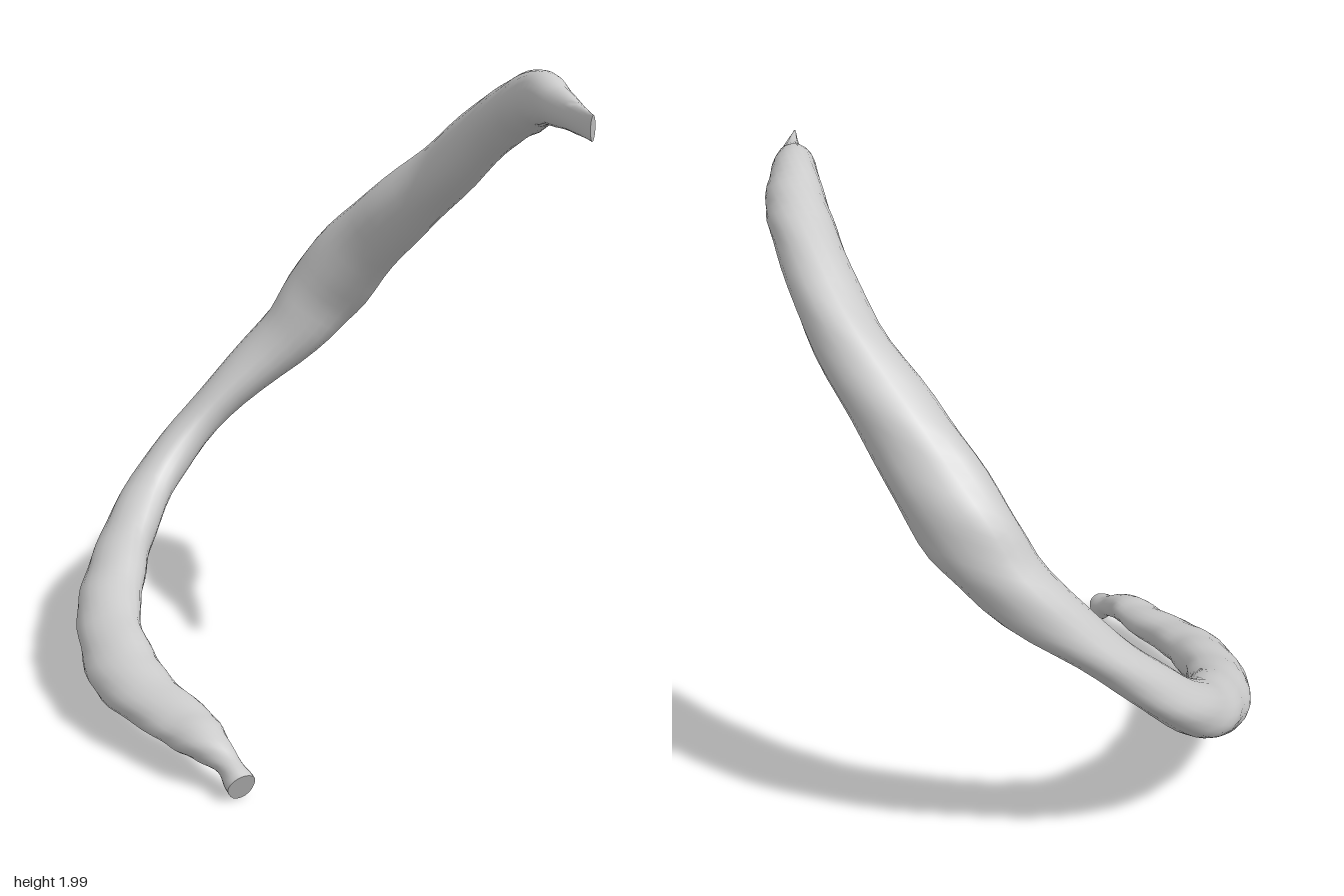
import * as THREE from 'three';
import { toCreasedNormals } from 'three/addons/utils/BufferGeometryUtils.js';

// Stations along the rib: x, y, z, half width, half thickness, tilt of the section (radians)
const STATIONS = [
  [-0.315, 0.048, 0.86, 0.043, 0.048, 0.2],
  [-0.345, 0.085, 0.79, 0.038, 0.037, 0.2],
  [-0.40, 0.12, 0.71, 0.064, 0.051, 0.25],
  [-0.455, 0.133, 0.60, 0.088, 0.052, 0.3],
  [-0.56, 0.155, 0.42, 0.096, 0.066, 0.35],
  [-0.625, 0.185, 0.24, 0.111, 0.074, 0.35],
  [-0.652, 0.235, 0.02, 0.103, 0.078, 0.35],
  [-0.632, 0.297, -0.2, 0.11, 0.079, 0.45],
  [-0.57, 0.385, -0.42, 0.103, 0.08, 0.6],
  [-0.44, 0.55, -0.635, 0.095, 0.073, 0.75],
  [-0.245, 0.755, -0.738, 0.092, 0.068, 0.8],
  [0.03, 1.0, -0.76, 0.108, 0.108, 0.88],
  [0.165, 1.18, -0.722, 0.113, 0.137, 0.9],
  [0.325, 1.4, -0.592, 0.119, 0.122, 0.9],
  [0.5, 1.615, -0.388, 0.12, 0.1, 0.9],
  [0.617, 1.8, -0.15, 0.106, 0.091, 0.8],
  [0.662, 1.873, 0.02, 0.09, 0.092, 0.4],
  [0.678, 1.916, 0.19, 0.07, 0.083, 0.0],
  [0.692, 1.905, 0.32, 0.05, 0.061, 0.0],
  [0.708, 1.892, 0.47, 0.029, 0.046, 0.0],
  [0.712, 1.883, 0.635, 0.007, 0.038, 0.0],
];
const RINGS = 96, SIDES = 20;

function ribGeometry() {
  const path = new THREE.CatmullRomCurve3(STATIONS.map(s => new THREE.Vector3(s[0], s[1], s[2])));
  const section = new THREE.CatmullRomCurve3(
    STATIONS.map(s => new THREE.Vector3(s[3], s[4], s[5])), false, 'catmullrom', 0.4);
  const pos = [], idx = [];

  for (let i = 0; i <= RINGS; i++) {
    const u = i / RINGS;
    const p = path.getPoint(u), t = path.getTangent(u), s = section.getPoint(u);
    // Section axes: n2 across the plane of the bend, n1 along its radius
    const n2 = new THREE.Vector3(-Math.sin(s.z), Math.cos(s.z), 0);
    n2.addScaledVector(t, -n2.dot(t)).normalize();
    const n1 = new THREE.Vector3().crossVectors(n2, t);
    for (let j = 0; j < SIDES; j++) {
      const a = (j / SIDES) * Math.PI * 2;
      // Slight bony unevenness, stronger towards the lower end
      const lump = 1 + (0.065 - 0.045 * u) * Math.sin(u * 95 + 2 * Math.sin(a)) * Math.cos(a * 2 + u * 31);
      const v = p.clone()
        .addScaledVector(n1, Math.cos(a) * s.x * lump)
        .addScaledVector(n2, Math.sin(a) * s.y * lump);
      pos.push(v.x, Math.max(0, v.y), v.z);
    }
  }
  for (let i = 0; i < RINGS; i++) {
    for (let j = 0; j < SIDES; j++) {
      const k = (j + 1) % SIDES;
      const a = i * SIDES + j, b = i * SIDES + k;
      idx.push(a, b, a + SIDES, b, b + SIDES, a + SIDES);
    }
  }
  // Blunt ends
  const start = pos.length / 3, last = RINGS * SIDES;
  for (const u of [0, 1]) pos.push(...path.getPoint(u).toArray());
  for (let j = 0; j < SIDES; j++) {
    const k = (j + 1) % SIDES;
    idx.push(start, k, j, start + 1, last + j, last + k);
  }

  const geo = new THREE.BufferGeometry();
  geo.setAttribute('position', new THREE.Float32BufferAttribute(pos, 3));
  geo.setIndex(idx);
  return toCreasedNormals(geo, 0.9);
}

export function createModel() {
  const group = new THREE.Group();
  group.name = 'ribBone';
  const rib = new THREE.Mesh(ribGeometry(), new THREE.MeshStandardMaterial({ color: 0xcccccc }));
  rib.name = 'curvedRib';
  group.add(rib);
  return group;
}
